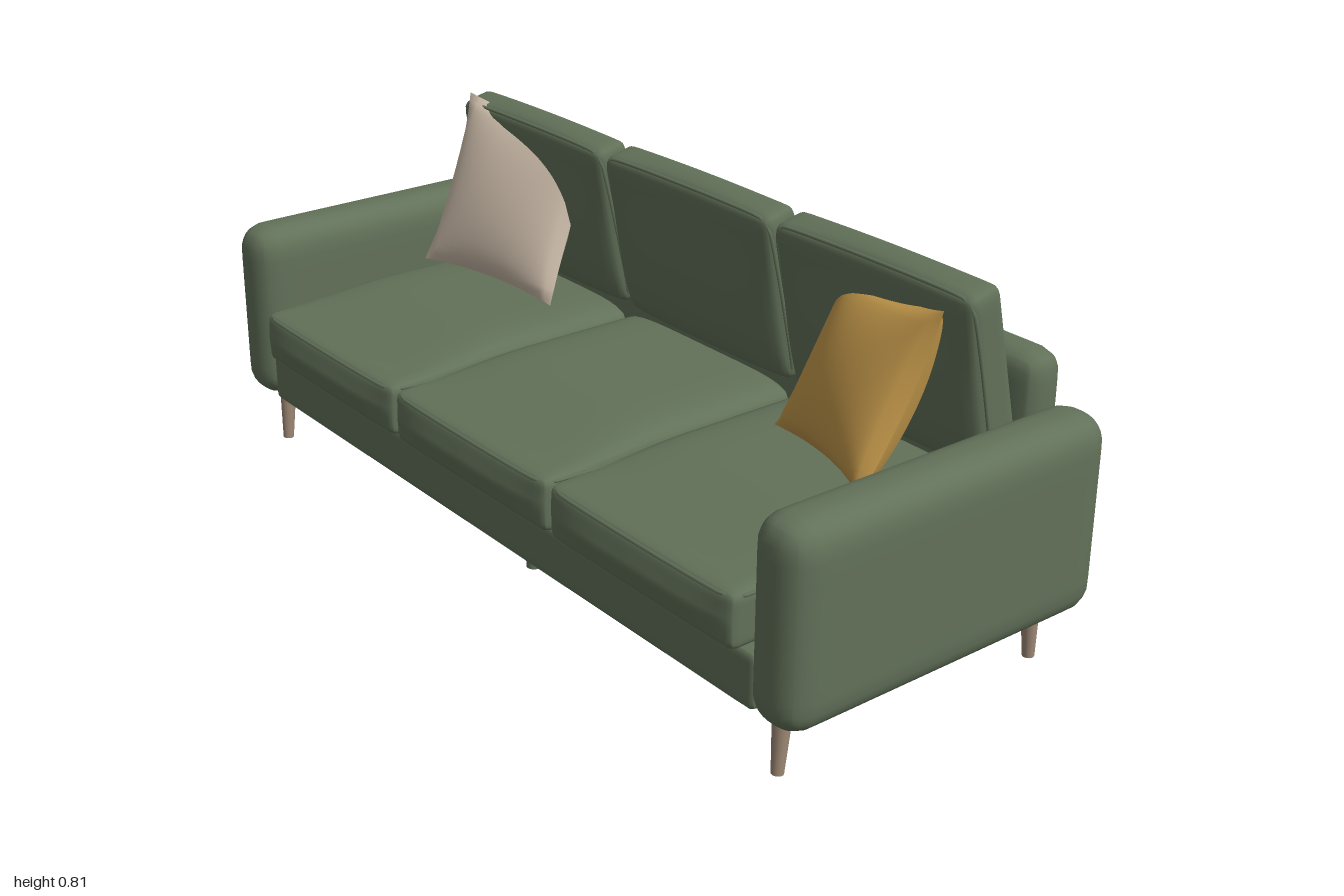
import * as THREE from 'three';
import { mergeVertices, mergeGeometries } from 'three/addons/utils/BufferGeometryUtils.js';

const mat = (name, color) => {
  const m = new THREE.MeshStandardMaterial({ color });
  m.name = name;
  return m;
};

// Soft box: rounded edges, then an optional swelling rule on (point, u, v, w), each in -1..1
function softBox(w, h, d, r, swell) {
  const n = 18, half = new THREE.Vector3(w, h, d).multiplyScalar(0.5);
  let g = new THREE.BoxGeometry(2, 2, 2, n, n, n);
  g.deleteAttribute('uv');
  g.deleteAttribute('normal');
  g = mergeVertices(g);
  const pos = g.attributes.position, p = new THREE.Vector3(), q = new THREE.Vector3();
  const inner = half.clone().subScalar(r), low = inner.clone().negate();
  for (let i = 0; i < pos.count; i++) {
    p.fromBufferAttribute(pos, i);
    p.set(...p.toArray().map((t) => Math.sin(t * Math.PI / 2))).multiply(half);
    q.copy(p).clamp(low, inner);
    p.sub(q).setLength(r).add(q);
    if (swell) swell(p, p.x / half.x, p.y / half.y, p.z / half.z);
    pos.setXYZ(i, p.x, p.y, p.z);
  }
  g.computeVertexNormals();
  return g;
}

// Closed cord following a rounded rectangle in the XY plane
function cord(w, h, r) {
  const pts = [];
  for (let k = 0; k < 4; k++) {
    const cx = (k === 0 || k === 3 ? 1 : -1) * (w / 2 - r), cy = (k < 2 ? 1 : -1) * (h / 2 - r);
    for (let j = 0; j <= 3; j++) {
      const a = (k + j / 3) * Math.PI / 2;
      pts.push(new THREE.Vector3(cx + r * Math.cos(a), cy + r * Math.sin(a), 0));
    }
  }
  const curve = new THREE.CatmullRomCurve3(pts, true, 'centripetal');
  return new THREE.TubeGeometry(curve, 80, 0.004, 6, true);
}

// Throw pillow stretched between four corners: bottom left, bottom right, top right, top left
function pillow(corners, thick, bend) {
  const [bl, br, tr, tl] = corners.map((c) => new THREE.Vector3(...c));
  const normal = br.clone().sub(tl).cross(tr.clone().sub(bl)).normalize();
  const sheets = [1, -1].map((side) => {
    const g = new THREE.PlaneGeometry(2, 2, 24, 24), pos = g.attributes.position;
    for (let i = 0; i < pos.count; i++) {
      const x = pos.getX(i) * side, y = pos.getY(i);
      const u = x * (1 - 0.07 * (1 - y * y)), v = y * (1 - 0.07 * (1 - x * x));
      const a = bl.clone().lerp(br, (u + 1) / 2), b = tl.clone().lerp(tr, (u + 1) / 2);
      const puff = Math.pow(Math.max(0, (1 - x * x) * (1 - y * y)), 0.5);
      const sag = bend * (1 - x * x * y * y);
      a.lerp(b, (v + 1) / 2).addScaledVector(normal, side * thick * puff - sag);
      pos.setXYZ(i, a.x, a.y, a.z);
    }
    g.computeVertexNormals();
    return g;
  });
  return mergeGeometries(sheets);
}

export function createModel() {
  const sofa = new THREE.Group();
  sofa.name = 'sofa';
  const green = mat('green fabric', 0x627159), wood = mat('light wood', 0xa08a76);
  const beige = mat('beige fabric', 0xc9b9a7), mustard = mat('mustard fabric', 0xbf9549);

  const add = (name, geo, material, x = 0, y = 0, z = 0, parent = sofa) => {
    const m = new THREE.Mesh(geo, material);
    m.name = name;
    m.position.set(x, y, z);
    parent.add(m);
    return m;
  };

  // Frame
  add('base', softBox(1.75, 0.125, 0.77, 0.02), green, 0, 0.1865, -0.01);
  add('backrest', softBox(1.74, 0.515, 0.11, 0.05), green, 0, 0.378, -0.364);

  // Arms and slightly splayed tapered legs, mirrored
  const armGeo = softBox(0.14, 0.425, 0.81, 0.062);
  const legGeo = new THREE.CylinderGeometry(0.02, 0.0125, 0.135, 20);
  for (const s of [1, -1]) {
    const side = s > 0 ? 'left' : 'right';
    add(side + 'Arm', armGeo, green, s * 0.93, 0.3325, -0.01);
    add(side + 'FrontLeg', legGeo, wood, s * 0.902, 0.0675, 0.329).rotation.x = -0.06;
    add(side + 'BackLeg', legGeo, wood, s * 0.902, 0.0675, -0.332).rotation.x = 0.06;
  }
  add('centreLeg', new THREE.CylinderGeometry(0.017, 0.017, 0.135, 20), green, 0, 0.0675, 0.234);

  // Three seat cushions: tops rise from the front edge towards the back, fronts come to a soft ridge
  const dome = (a, b) => Math.max(0, (1 - a * a) * (1 - b * b));
  const seatGeo = softBox(0.555, 0.12, 0.65, 0.02, (p, u, v, w) => {
    const rise = THREE.MathUtils.smoothstep(1 - w, 0, 1);
    if (v > 0) p.y += v * 0.036 * rise * Math.pow(Math.max(0, 1 - u ** 6), 0.5);
    if (w > 0) p.z += w * 0.018 * (1 - Math.abs(v)) * (1 - u ** 4);
  });
  // Three back cushions: fronts are fullest low down
  const backGeo = softBox(0.55, 0.39, 0.09, 0.024, (p, u, v, w) => {
    if (w > 0) p.z += w * 0.045 * (1 - v) / 2 * Math.sqrt(dome(u ** 2, v));
    if (v > 0) p.y += 0.011 * v * dome(u, w);
  });
  const seatCord = cord(0.55, 0.645, 0.03), backCord = cord(0.545, 0.385, 0.035);
  for (const [i, x] of [-0.566, 0, 0.566].entries()) {
    const seat = new THREE.Group();
    seat.name = 'seatCushion' + (i + 1);
    seat.position.set(x, 0.304, 0.075);
    add('seatPad', seatGeo, green, 0, 0, 0, seat);
    add('seatPiping', seatCord, green, 0, 0.05, 0, seat).rotation.x = Math.PI / 2;

    const back = new THREE.Group();
    back.name = 'backCushion' + (i + 1);
    back.position.set(x, 0.599, -0.247);
    back.rotation.x = 0.23;
    add('backPad', backGeo, green, 0, 0, 0, back);
    add('backPiping', backCord, green, 0, 0, 0.034, back);
    sofa.add(seat, back);
  }

  // Throw pillows
  add('beigePillow', pillow([[-0.805, 0.415, -0.02], [-0.395, 0.4, -0.1],
    [-0.425, 0.77, -0.265], [-0.81, 0.805, -0.17]], 0.06, 0.01), beige);
  add('mustardPillow', pillow([[0.41, 0.4, -0.08], [0.775, 0.415, 0.035],
    [0.805, 0.76, -0.13], [0.455, 0.715, -0.22]], 0.075, 0.022), mustard);

  return sofa;
}
